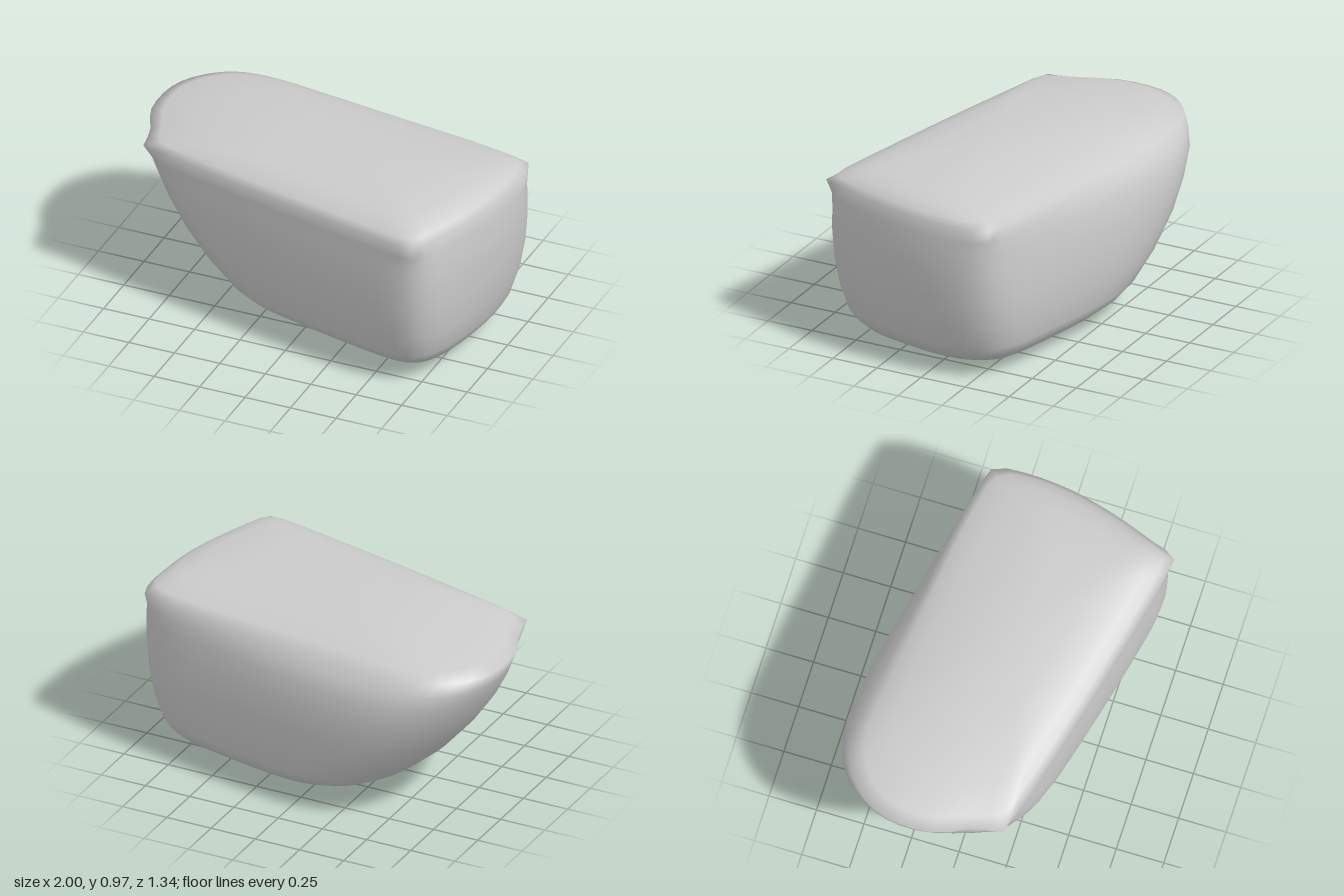
import * as THREE from 'three';

// Plan outline [x, v], where v is depth measured from the slanted long axis
const OUTLINE = [
  [-0.89, 0.475], [-0.75, 0.48], [-0.3, 0.493], [0.3, 0.495], [0.7, 0.487], [0.79, 0.48],
  [0.83, 0.36], [0.91, 0.12], [0.98, -0.175], [1, -0.4], [0.995, -0.53], [0.985, -0.597],
  [0.91, -0.61], [0.3, -0.615], [-0.27, -0.605], [-0.6, -0.558], [-0.79, -0.462],
  [-0.975, -0.185], [-1, 0.15], [-0.91, 0.347],
];
const SLANT = 0.23;
const SIDES = 64;

// Levels: y, x min, x max, v back, v front, corner softening passes, rear right cut
const LEVELS = [
  [0.007, 0.1, 0.5, -0.14, 0.02, 14, 0],
  [0.02, -0.02, 0.65, -0.3, 0.14, 14, 0],
  [0.04, -0.15, 0.79, -0.42, 0.26, 12, 0],
  [0.08, -0.31, 0.86, -0.53, 0.36, 11, 0],
  [0.12, -0.41, 0.895, -0.57, 0.41, 10, 0],
  [0.17, -0.5, 0.925, -0.595, 0.442, 9, 0],
  [0.3, -0.65, 0.965, -0.62, 0.475, 7, 0],
  [0.45, -0.78, 0.987, -0.63, 0.493, 5, 0],
  [0.6, -0.885, 1, -0.624, 0.5, 4, 0],
  [0.72, -0.95, 0.998, -0.615, 0.497, 3, 0.02],
  [0.79, -0.98, 0.992, -0.607, 0.495, 2, 0.07],
  [0.86, -1, 0.985, -0.592, 0.495, 0, 0.14],
  [0.89, -0.93, 0.955, -0.55, 0.465, 1, 0.17],
  [0.92, -0.74, 0.9, -0.43, 0.41, 2, 0.12],
  [0.945, -0.52, 0.8, -0.26, 0.34, 4, 0],
  [0.96, -0.3, 0.6, -0.13, 0.22, 7, 0],
];

// Soften the closed outline by averaging neighbours
function soften(points, passes) {
  let p = points;
  for (let k = 0; k < passes; k++) {
    p = p.map((q, i) => {
      const a = p[(i + SIDES - 1) % SIDES], b = p[(i + 1) % SIDES];
      return [(a[0] + 2 * q[0] + b[0]) / 4, (a[1] + 2 * q[1] + b[1]) / 4];
    });
  }
  return p;
}

// Fit one coordinate of the outline into a range
function fit(points, axis, lo, hi) {
  const values = points.map((p) => p[axis]);
  const min = Math.min(...values), max = Math.max(...values);
  return values.map((t) => lo + ((t - min) / (max - min)) * (hi - lo));
}

function boulderGeometry() {
  const curve = new THREE.CatmullRomCurve3(
    OUTLINE.map(([x, v]) => new THREE.Vector3(x, 0, v)), true, 'centripetal');
  const base = curve.getSpacedPoints(SIDES).slice(0, SIDES).map((p) => [p.x, p.z]);
  const positions = [], index = [];

  // Stacked cross-sections, the rear rim rounding off towards the right end
  for (const [y, x0, x1, v0, v1, passes, cut] of LEVELS) {
    const ring = soften(base, passes);
    const xs = fit(ring, 0, x0, x1), vs = fit(ring, 1, v0, v1);
    xs.forEach((x, j) => {
      const shrink = vs[j] < 0 ? 1 - cut * THREE.MathUtils.smoothstep(-x, -0.95, 0.4) : 1;
      positions.push(x, y, vs[j] * shrink + SLANT * x);
    });
  }
  for (let i = 0; i < LEVELS.length - 1; i++) {
    for (let j = 0; j < SIDES; j++) {
      const n = (j + 1) % SIDES;
      const a = i * SIDES + j, b = i * SIDES + n;
      index.push(a, b, b + SIDES, a, b + SIDES, a + SIDES);
    }
  }

  // Closing points underneath and on top
  const bottom = positions.length / 3, top = bottom + 1, last = (LEVELS.length - 1) * SIDES;
  positions.push(0.3, 0, 0.01, 0.15, 0.966, 0.08);
  for (let j = 0; j < SIDES; j++) {
    const n = (j + 1) % SIDES;
    index.push(n, j, bottom, last + j, last + n, top);
  }

  const geometry = new THREE.BufferGeometry();
  geometry.setAttribute('position', new THREE.Float32BufferAttribute(positions, 3));
  geometry.setIndex(index);
  geometry.computeVertexNormals();
  return geometry;
}

export function createModel() {
  const group = new THREE.Group();
  group.name = 'rock';
  const boulder = new THREE.Mesh(
    boulderGeometry(), new THREE.MeshStandardMaterial({ color: 0xcccccc }));
  boulder.name = 'boulder';
  group.add(boulder);
  return group;
}
